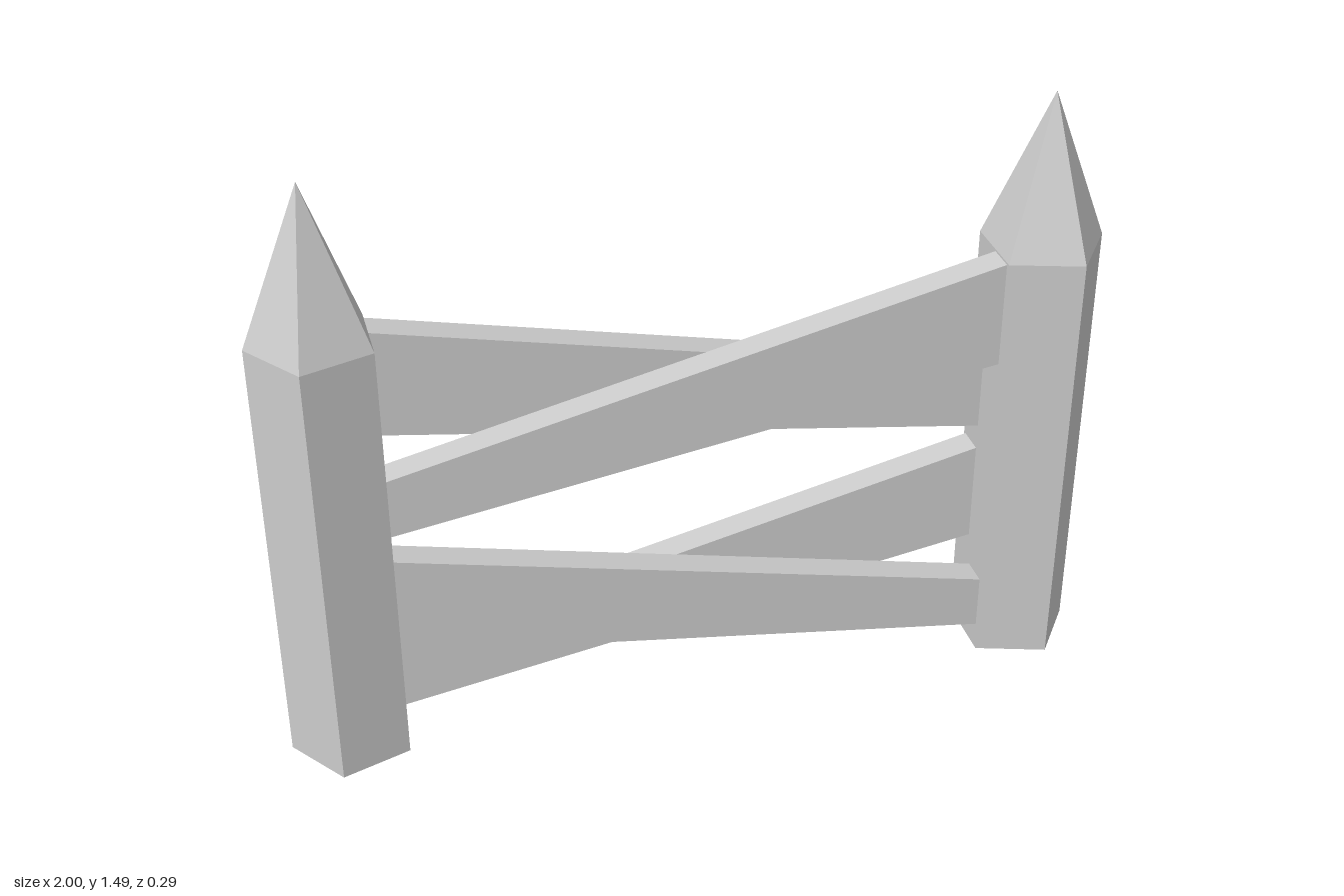
import * as THREE from 'three';

const POST_X = 0.85, POST_R = 0.15, POST_H = 1.11, TIP_H = 1.49;
const INNER_X = POST_X - POST_R * Math.cos(Math.PI / 5);

const material = new THREE.MeshStandardMaterial({ color: 0xcccccc, flatShading: true });

function addPart(group, name, geometry) {
  const flat = geometry.index ? geometry.toNonIndexed() : geometry;
  flat.computeVertexNormals();
  const mesh = new THREE.Mesh(flat, material);
  mesh.name = name;
  group.add(mesh);
  return mesh;
}

// Five-sided pointed post with one corner facing outwards
function addPost(group, name, side) {
  const profile = [[0, 0], [POST_R, 0], [POST_R, POST_H], [0, TIP_H]]
    .map(([r, y]) => new THREE.Vector2(r, y));
  const post = addPart(group, name, new THREE.LatheGeometry(profile, 5, side * Math.PI / 2));
  post.position.x = side * POST_X;
}

// Tapered board between the posts: [bottom, top] heights at its -x and +x ends
function addBoard(group, name, start, end, z) {
  const shape = new THREE.Shape([
    new THREE.Vector2(-INNER_X, start[0]),
    new THREE.Vector2(INNER_X, end[0]),
    new THREE.Vector2(INNER_X, end[1]),
    new THREE.Vector2(-INNER_X, start[1]),
  ]);
  const board = addPart(group, name,
    new THREE.ExtrudeGeometry(shape, { depth: 0.07, bevelEnabled: false }));
  board.position.z = z;
}

export function createModel() {
  const fence = new THREE.Group();
  fence.name = 'fence';

  addPost(fence, 'leftPost', 1);
  addPost(fence, 'rightPost', -1);

  // Two crossed pairs of boards
  addBoard(fence, 'upperFrontBoard', [0.62, 0.77], [0.84, 1.105], 0.007);
  addBoard(fence, 'upperBackBoard', [0.84, 1.105], [0.615, 0.78], -0.08);
  addBoard(fence, 'lowerFrontBoard', [0.29, 0.55], [0.07, 0.21], 0.007);
  addBoard(fence, 'lowerBackBoard', [0.06, 0.22], [0.29, 0.55], -0.08);

  return fence;
}
